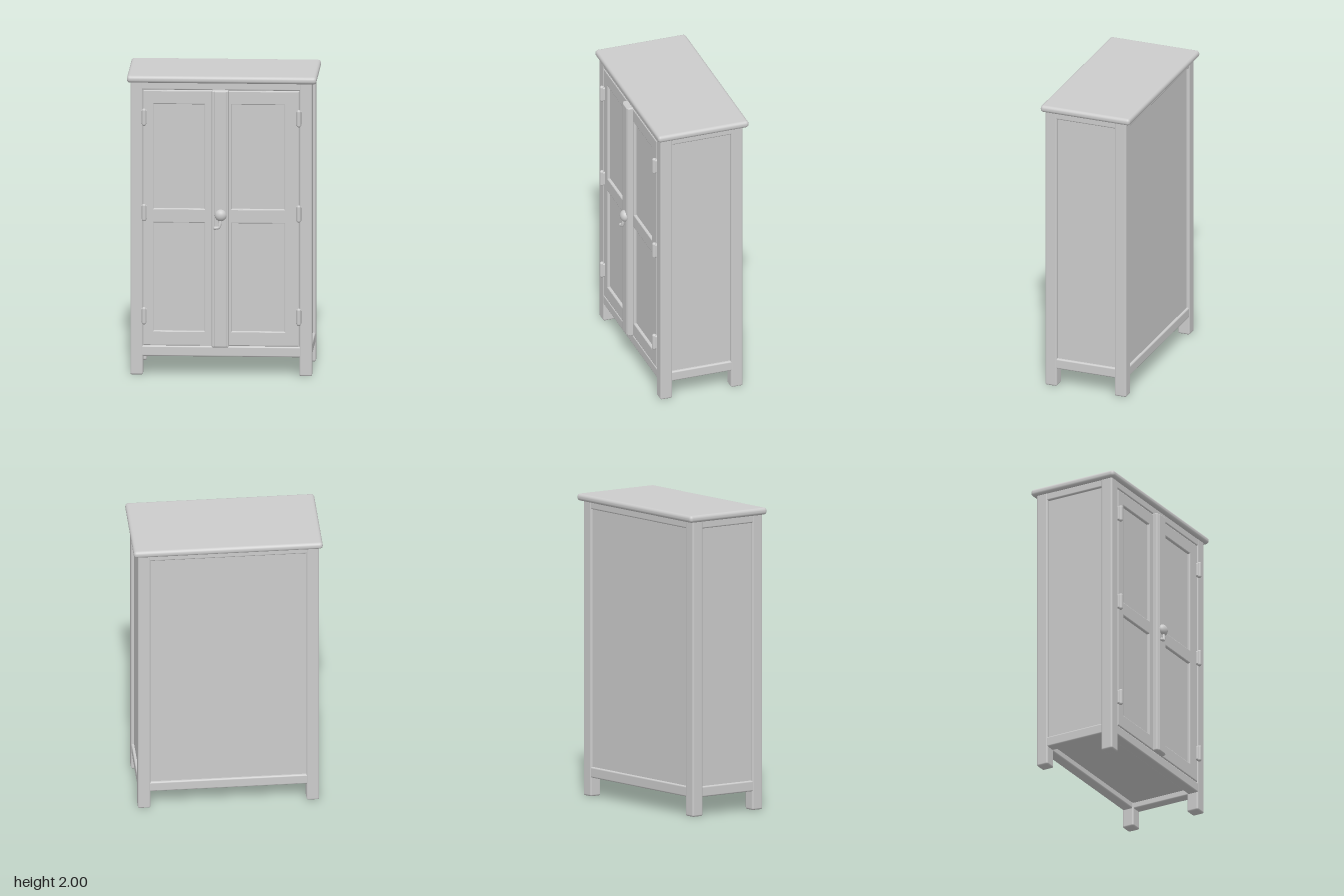
import * as THREE from 'three';
import { RoundedBoxGeometry } from 'three/addons/geometries/RoundedBoxGeometry.js';

const material = new THREE.MeshStandardMaterial({ color: 0xcccccc });

export function createModel() {
  const cabinet = new THREE.Group();
  cabinet.name = 'cabinet';

  const add = (name, geometry) => {
    const mesh = new THREE.Mesh(geometry, material);
    mesh.name = name;
    cabinet.add(mesh);
    return mesh;
  };
  // Soft-edged box given by its extents on each axis
  const block = (name, [x0, x1], [y0, y1], [z0, z1], radius = 0.01) =>
    add(name, new RoundedBoxGeometry(x1 - x0, y1 - y0, z1 - z0, 3, radius))
      .position.set((x0 + x1) / 2, (y0 + y1) / 2, (z0 + z1) / 2);

  // Outer limits of the carcass
  const left = 0.59, right = -0.6, front = 0.268, back = -0.304, post = 0.083;

  // Overhanging top with a rounded rim
  block('top', [-0.622, 0.62], [1.953, 2], [-0.338, 0.292], 0.021);

  // Recessed core: side, back, floor and door panels
  add('panels', new THREE.BoxGeometry(1.15, 1.79, 0.532)).position.set(-0.005, 1.065, -0.019);

  // Corner posts that run down into the feet
  for (const x of [right, left - post]) {
    for (const z of [back, front - post]) {
      block('cornerPost', [x, x + post], [0.005, 1.97], [z, z + post], 0.012);
    }
  }

  // Bottom and top rails on all four sides
  for (const [y0, y1] of [[0.13, 0.2], [1.905, 1.97]]) {
    block('frontRail', [right + 0.04, left - 0.04], [y0, y1], [front - 0.075, front - 0.002]);
    block('backRail', [right + 0.04, left - 0.04], [y0, y1], [back + 0.003, back + 0.075]);
    block('sideRail', [right + 0.003, right + 0.075], [y0, y1], [back + 0.04, front - 0.04]);
    block('sideRail', [left - 0.075, left - 0.003], [y0, y1], [back + 0.04, front - 0.04]);
  }

  // Door frames, each with an upper and a lower opening
  const rectangle = (path, x0, x1, y0, y1) => {
    path.moveTo(x0, y0);
    path.lineTo(x1, y0);
    path.lineTo(x1, y1);
    path.lineTo(x0, y1);
    path.closePath();
    return path;
  };
  const door = (name, x0, x1, hole0, hole1) => {
    const shape = rectangle(new THREE.Shape(), x0, x1, 0.202, 1.903);
    for (const [y0, y1] of [[0.3, 1.02], [1.115, 1.81]]) {
      shape.holes.push(rectangle(new THREE.Path(), hole0, hole1, y0, y1));
    }
    const bevel = 0.007;
    const geometry = new THREE.ExtrudeGeometry(shape, {
      depth: 0.03, bevelThickness: bevel, bevelSize: bevel, bevelOffset: -bevel, bevelSegments: 3,
    });
    add(name, geometry).position.z = front - 0.002 - 0.03 - bevel;
  };
  door('rightDoor', -0.516, -0.012, -0.445, -0.115);
  door('leftDoor', -0.008, 0.506, 0.065, 0.41);

  // Cover strip over the meeting doors, with a raised middle
  block('coverStrip', [-0.066, 0.046], [0.197, 1.91], [0.245, 0.299], 0.01);
  block('coverStripFace', [-0.05, 0.032], [0.2, 1.907], [0.26, 0.304], 0.008);

  // Hinges: a leaf with a barrel on it
  for (const x of [-0.509, 0.504]) {
    for (const y of [0.402, 1.09, 1.725]) {
      block('hingeLeaf', [x - 0.019, x + 0.019], [y - 0.048, y + 0.048], [0.255, 0.281], 0.008);
      add('hingeBarrel', new THREE.CapsuleGeometry(0.014, 0.088, 6, 14)).position.set(x, y, 0.282);
    }
  }

  // Round knob
  const knob = add('knob', new THREE.SphereGeometry(0.039, 28, 18));
  knob.scale.z = 0.8;
  knob.position.set(-0.006, 1.08, 0.304);

  // Curved key hanging below the knob
  const curve = new THREE.CatmullRomCurve3([
    [-0.008, 1.055, 0.308], [-0.01, 1.025, 0.314], [-0.018, 1.002, 0.317], [-0.04, 0.997, 0.318],
  ].map((p) => new THREE.Vector3(...p)));
  add('key', new THREE.TubeGeometry(curve, 24, 0.01, 12));
  add('keyTip', new THREE.SphereGeometry(0.012, 16, 12)).position.set(-0.041, 0.997, 0.318);

  return cabinet;
}
